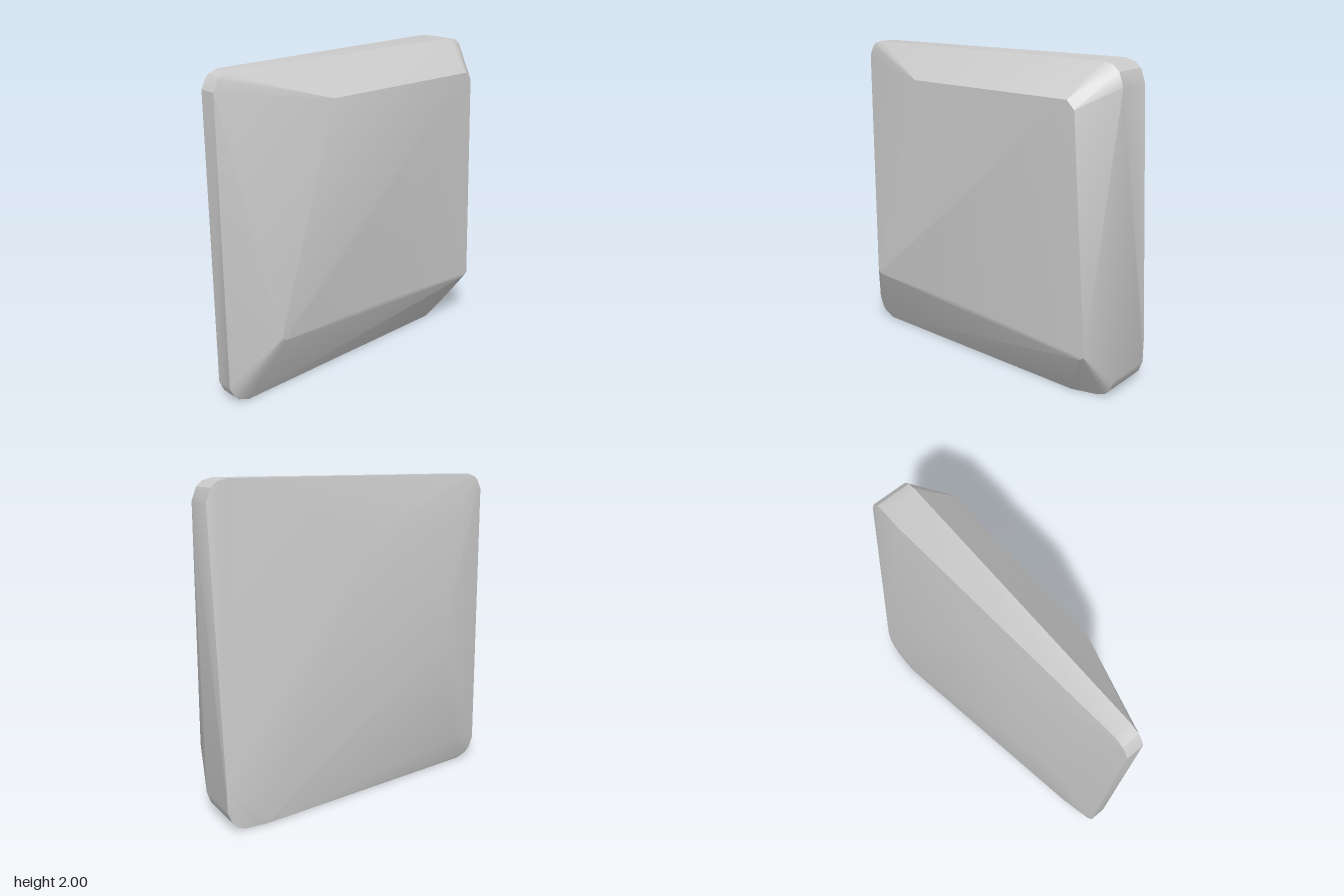
import * as THREE from 'three';
import { ConvexGeometry } from 'three/addons/geometries/ConvexGeometry.js';
import { toCreasedNormals } from 'three/addons/utils/BufferGeometryUtils.js';

const point = (p) => new THREE.Vector3(...p);

// One clipped corner of the slab: the same rounded outline at a front and a back depth
function cornerPoints({ outline, front, back }) {
  return outline.flatMap(([x, y]) => [point([x, y, front]), point([x, y, back])]);
}

export function createModel() {
  // Rim corners, the band between them is the edge of the stone
  const corners = [
    { outline: [[-1, 1.9], [-0.97, 1.96], [-0.95, 1.98], [-0.89, 2]], front: 0.08, back: -0.03 },
    { outline: [[0.87, 2], [0.93, 1.985], [0.97, 1.95], [1, 1.87]], front: 0.08, back: -0.14 },
    { outline: [[-1, 0.13], [-0.97, 0.06], [-0.94, 0.03], [-0.87, 0]], front: 0.08, back: -0.03 },
    { outline: [[0.89, 0], [0.94, 0.02], [0.975, 0.06], [1, 0.13]], front: 0.03, back: -0.295 },
  ];

  // Raised front face and the break in the lower bevel
  const frontFace = [
    [-0.35, 1.81, 0.295], [0.79, 1.81, 0.295], [0.84, 1.76, 0.295],
    [-0.76, 0.5, 0.295], [-0.76, 0.46, 0.295], [-0.73, 0.44, 0.295], [-0.03, 0.43, 0.295],
    [0.94, 0.35, 0.27], [0.91, 0.33, 0.27], [0.73, 0, 0.08],
  ];

  // Shallow facets of the back, thickest at the lower left
  const backFace = [
    [-0.62, 0.95, -0.165], [-0.04, 1.63, -0.165], [-0.76, 1.73, -0.08],
    [-0.78, 0.19, -0.1], [0.75, 0, -0.295], [1, 0.27, -0.295], [0.75, 2, -0.14],
  ];

  const points = [
    ...corners.flatMap(cornerPoints),
    ...frontFace.map(point),
    ...backFace.map(point),
  ];
  const geometry = toCreasedNormals(new ConvexGeometry(points), THREE.MathUtils.degToRad(24));

  const stone = new THREE.Mesh(geometry, new THREE.MeshStandardMaterial({ color: 0xcccccc }));
  stone.name = 'stoneSlab';

  const group = new THREE.Group();
  group.name = 'stone';
  group.add(stone);
  return group;
}
